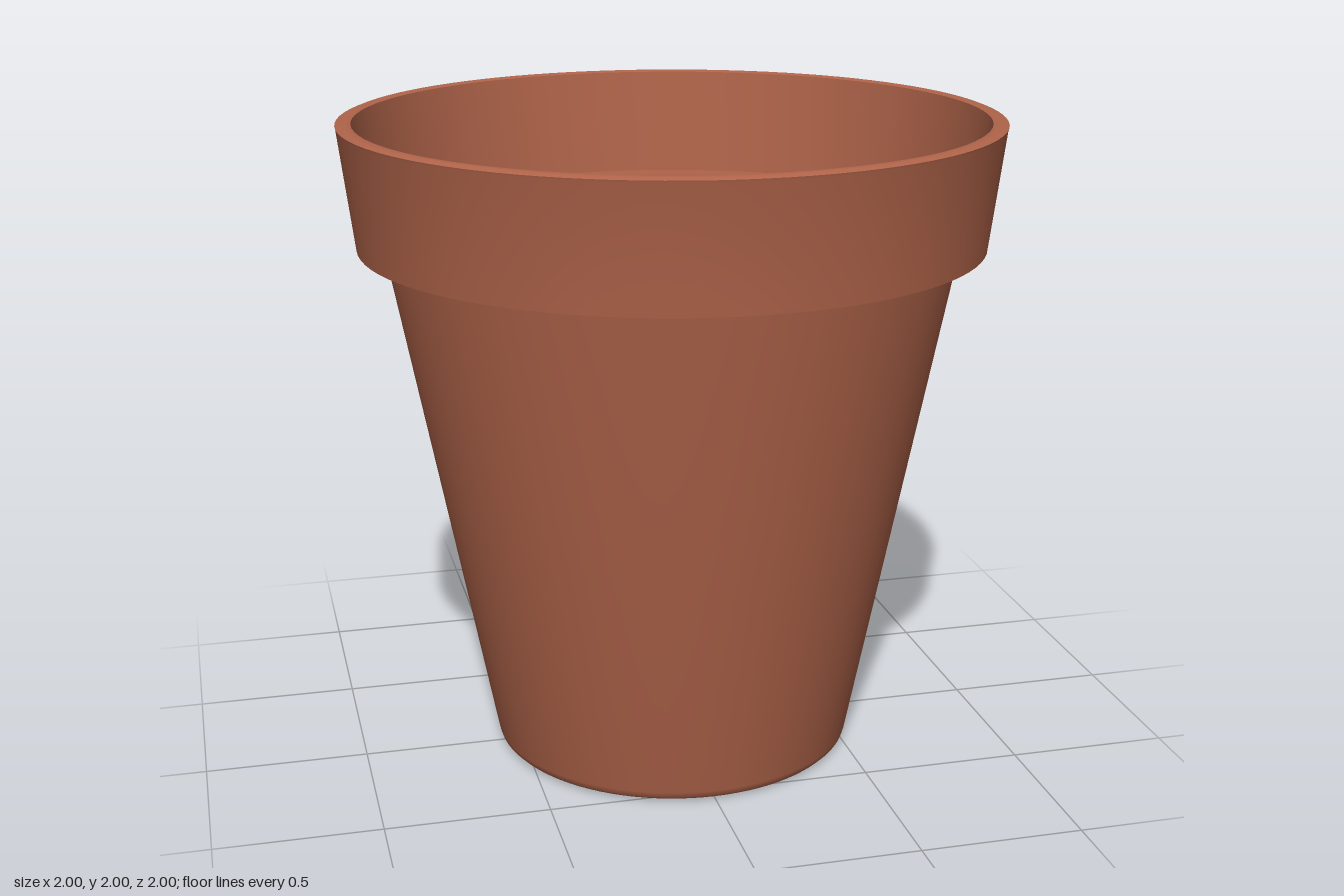
import * as THREE from 'three';
import { toCreasedNormals } from 'three/addons/utils/BufferGeometryUtils.js';

const SEGMENTS = 96;

// Revolve a [radius, height] profile, keeping its hard corners sharp
function turned(name, profile, material) {
  const points = profile.map(([r, y]) => new THREE.Vector2(r, y));
  const geometry = toCreasedNormals(new THREE.LatheGeometry(points, SEGMENTS), 0.7);
  const mesh = new THREE.Mesh(geometry, material);
  mesh.name = name;
  return mesh;
}

export function createModel() {
  const terracotta = new THREE.MeshStandardMaterial({ color: 0xb0644a });
  terracotta.name = 'terracotta';

  const pot = new THREE.Group();
  pot.name = 'flowerPot';

  // Flat underside, softly rounded foot and tapered outer wall
  pot.add(turned('body', [
    [0, 0], [0.54, 0.005], [0.553, 0.009], [0.562, 0.018], [0.567, 0.035], [0.872, 1.62],
  ], terracotta));

  // Flared collar: lower lip, outer band, top edge and inner band down to the ledge
  pot.add(turned('rim', [
    [0.872, 1.62], [0.953, 1.62], [0.998, 1.985], [1, 1.992], [0.985, 1.998],
    [0.97, 2], [0.953, 1.995], [0.921, 1.66],
  ], terracotta));

  // Ledge, tapered inner wall and floor
  pot.add(turned('interior', [
    [0.921, 1.66], [0.845, 1.66], [0.53, 0.05], [0, 0.05],
  ], terracotta));

  return pot;
}
